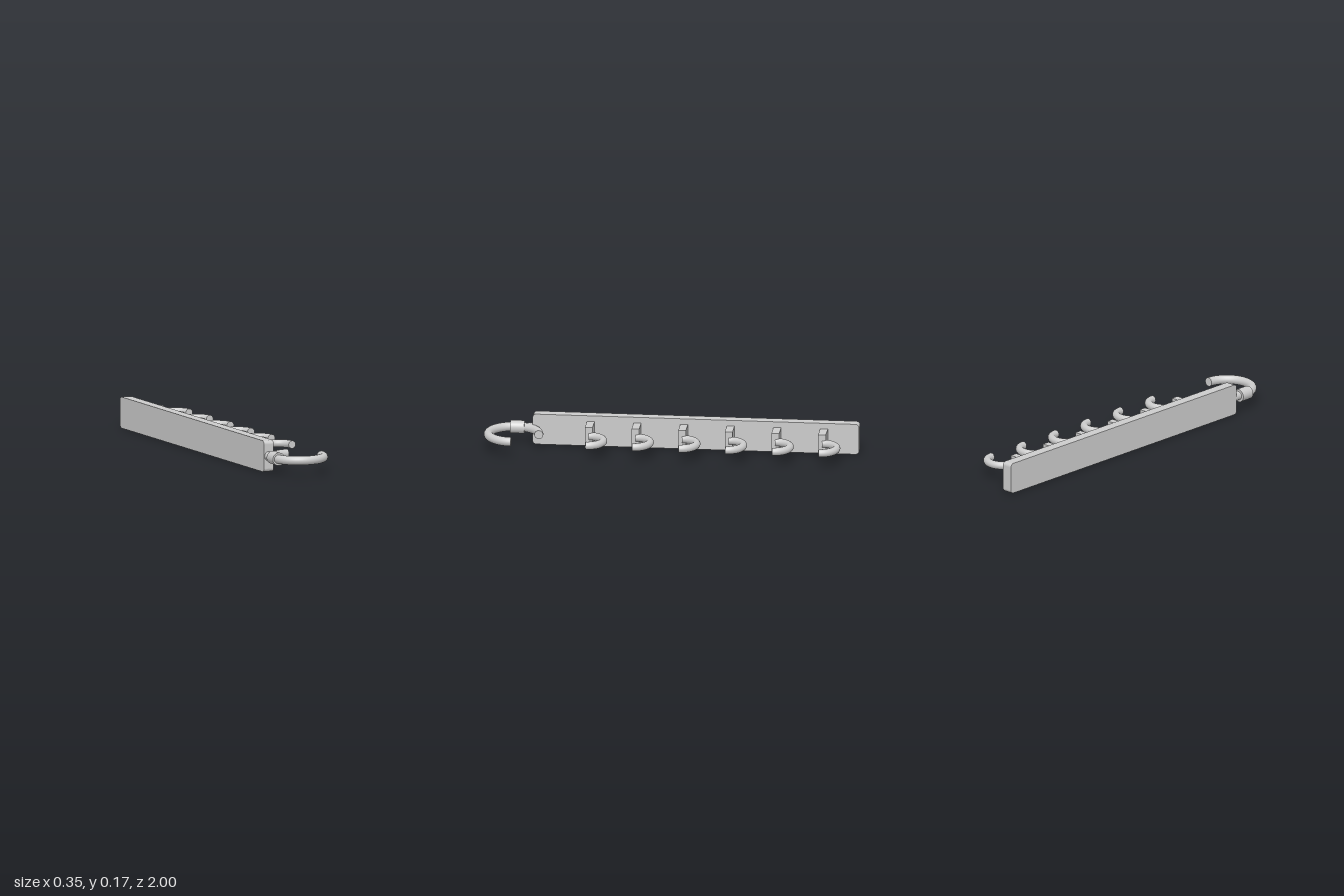
import * as THREE from 'three';
import { mergeGeometries } from 'three/addons/utils/BufferGeometryUtils.js';

const MID_Y = 0.085;
const material = new THREE.MeshStandardMaterial({ color: 0xcccccc });

function part(name, geometry, x, y, z) {
  const mesh = new THREE.Mesh(geometry, material);
  mesh.name = name;
  mesh.position.set(x, y, z);
  return mesh;
}

// Horizontal bent rod with flat ends; angles run from +x towards -z
function bentRod(radius, thickness, start, arc, segments) {
  const rod = new THREE.TorusGeometry(radius, thickness, 16, segments, arc);
  const cap = (turn, angle) => new THREE.CircleGeometry(thickness, 16)
    .rotateX(turn).translate(radius, 0, 0).rotateZ(angle);
  return mergeGeometries([rod, cap(Math.PI / 2, 0), cap(-Math.PI / 2, arc)])
    .rotateZ(start).rotateX(-Math.PI / 2);
}

// Long rail with rounded corners on its broad face
function railGeometry(length, height, depth, r) {
  const a = length / 2, b = height / 2;
  const shape = new THREE.Shape();
  shape.moveTo(-a + r, -b);
  shape.absarc(a - r, -b + r, r, -Math.PI / 2, 0);
  shape.absarc(a - r, b - r, r, 0, Math.PI / 2);
  shape.absarc(-a + r, b - r, r, Math.PI / 2, Math.PI);
  shape.absarc(-a + r, -b + r, r, Math.PI, Math.PI * 1.5);
  return new THREE.ExtrudeGeometry(shape, { depth, bevelEnabled: false, curveSegments: 6 })
    .rotateY(Math.PI / 2);
}

export function createModel() {
  const model = new THREE.Group();
  model.name = 'hookRail';

  model.add(part('rail', railGeometry(1.75, 0.168, 0.057, 0.02), -0.168, 0.084, -0.125));

  // Row of six small hooks on square blocks
  const blockGeometry = new THREE.BoxGeometry(0.102, 0.102, 0.041);
  const hookGeometry = bentRod(0.085, 0.021, 0, Math.PI, 24);
  for (let i = 0; i < 6; i++) {
    const z = 0.438 - i * 0.25;
    const hanger = new THREE.Group();
    hanger.name = 'hanger' + (i + 1);
    hanger.add(part('block', blockGeometry, -0.06, MID_Y, z));
    hanger.add(part('smallHook', hookGeometry, 0.066, MID_Y, z));
    model.add(hanger);
  }

  // Swivel stem and collar at the front end of the rail
  const stem = new THREE.CylinderGeometry(0.019, 0.027, 0.07, 24).rotateX(Math.PI / 2);
  const collar = new THREE.CylinderGeometry(0.035, 0.035, 0.076, 32).rotateX(Math.PI / 2);
  model.add(part('stem', stem, -0.139, MID_Y, 0.775));
  model.add(part('collar', collar, -0.14, MID_Y, 0.833));

  // Large hanging hook, three quarters of a circle
  const bigHook = bentRod(0.135, 0.024, Math.PI / 2, Math.PI * 1.5, 40);
  model.add(part('largeHook', bigHook, -0.01, MID_Y, 0.841));

  return model;
}
